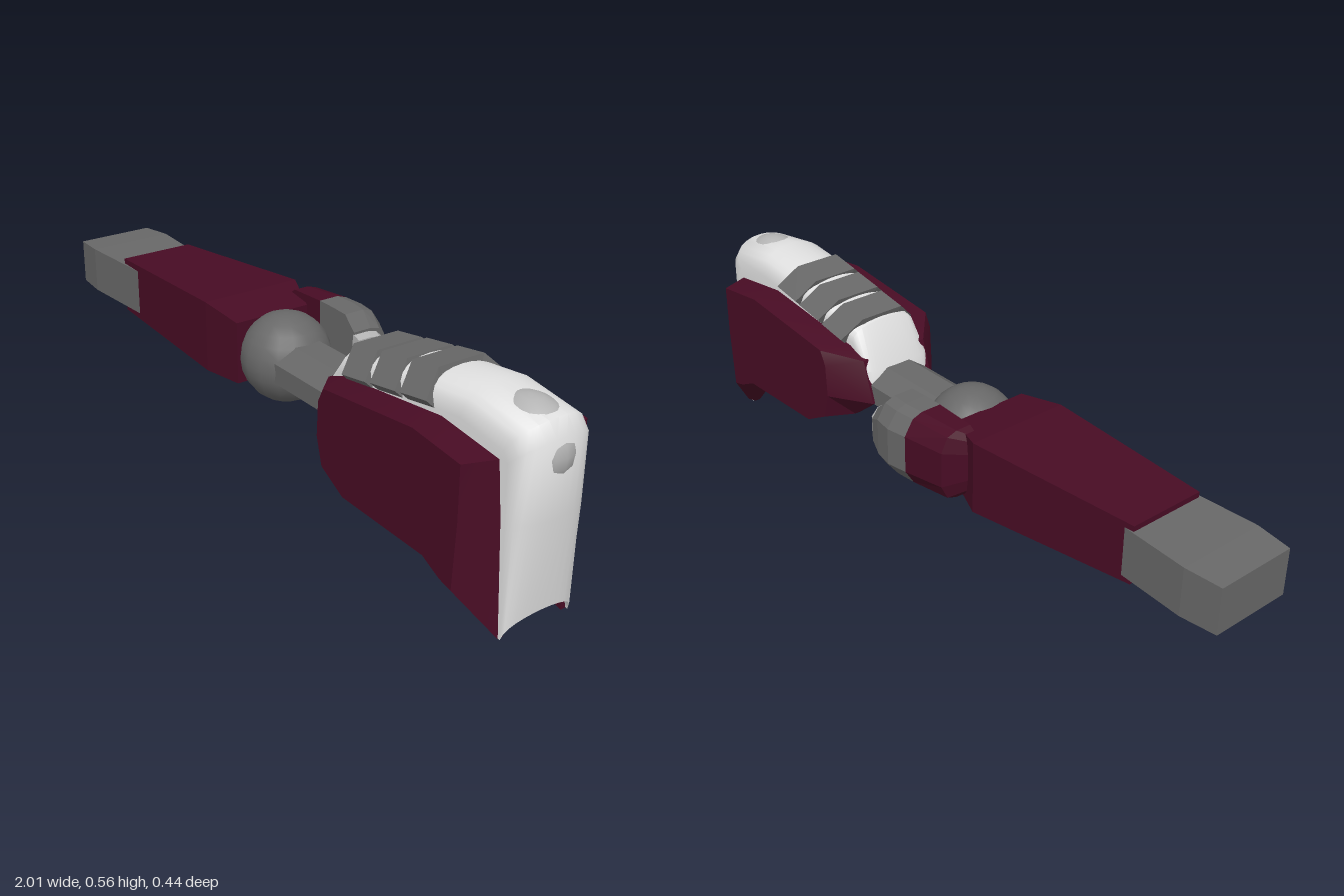
import * as THREE from 'three';
import { toCreasedNormals } from 'three/addons/utils/BufferGeometryUtils.js';

const CZ = 0.033; // centre line of the arm in z

const material = (name, color) => {
  const m = new THREE.MeshStandardMaterial({ color });
  m.name = name;
  return m;
};

// Skin a list of closed rings; the end caps are triangulated after dropping one axis.
function loft(rings, dropAxis, crease = 0) {
  const n = rings[0].length;
  const tris = [];
  for (let i = 0; i < rings.length - 1; i++) {
    for (let j = 0; j < n; j++) {
      const k = (j + 1) % n;
      const [a, b, c, d] = [rings[i][j], rings[i][k], rings[i + 1][k], rings[i + 1][j]];
      tris.push([a, b, c], [a, c, d]);
    }
  }
  const cap = (ring, reverse) => {
    const flat = ring.map((p) => new THREE.Vector2(...p.filter((_, i) => i !== dropAxis)));
    const sign = Math.sign(THREE.ShapeUtils.area(flat));
    for (const f of THREE.ShapeUtils.triangulateShape(flat.slice(), [])) {
      const same = Math.sign(THREE.ShapeUtils.area(f.map((i) => flat[i]))) === sign;
      const t = f.map((i) => ring[i]);
      tris.push(same === reverse ? t.reverse() : t);
    }
  };
  cap(rings[0], true);
  cap(rings[rings.length - 1], false);

  // Turn the skin outward if its signed volume is negative
  let volume = 0;
  const [a, b, c] = [0, 0, 0].map(() => new THREE.Vector3());
  for (const t of tris) volume += a.set(...t[0]).dot(b.set(...t[1]).cross(c.set(...t[2])));
  if (volume < 0) tris.forEach((t) => t.reverse());

  const g = new THREE.BufferGeometry();
  g.setAttribute('position', new THREE.Float32BufferAttribute(tris.flat(2), 3));
  g.computeVertexNormals();
  return crease ? toCreasedNormals(g, crease) : g;
}

// Rectangular section across the arm
const rect = ([x, y0, y1, z0, z1]) => [[x, y0, z0], [x, y1, z0], [x, y1, z1], [x, y0, z1]];

export function createModel() {
  const group = new THREE.Group();
  const maroon = material('maroon', 0x480c24);
  const grey = material('grey', 0x686868);
  const white = material('white', 0xe0e0e0);
  const lightGrey = material('lightGrey', 0xb4b4b4);

  const add = (name, geometry, mat, x = 0, y = 0, z = 0) => {
    const mesh = new THREE.Mesh(geometry, mat);
    mesh.name = name;
    mesh.position.set(x, y, z);
    group.add(mesh);
    return mesh;
  };

  // Forearm: grey wrist block and maroon sleeve
  add('wrist', loft([
    [-1, 0.25, 0.38, -0.08, 0.15],
    [-0.9, 0.25, 0.385, -0.093, 0.16],
    [-0.6, 0.25, 0.385, -0.075, 0.143],
  ].map(rect), 0), grey);
  add('forearmSleeve', loft([
    [-0.735, 0.235, 0.4, -0.078, 0.144],
    [-0.25, 0.215, 0.42, -0.145, 0.155],
    [-0.115, 0.222, 0.4, -0.09, 0.14],
  ].map(rect), 0), maroon);

  // Elbow ball and upper arm
  add('elbowBall', new THREE.SphereGeometry(0.126, 16, 12), grey, -0.045, 0.303, 0.028);
  const armGeometry = new THREE.CylinderGeometry(0.073, 0.073, 0.5, 8);
  armGeometry.rotateY(Math.PI / 8).rotateZ(Math.PI / 2).scale(1, 1, 1.38);
  const flatArm = armGeometry.toNonIndexed();
  flatArm.computeVertexNormals();
  add('upperArm', flatArm, grey, 0.25, 0.303, 0.027);

  // Elbow guard on the back: stepped sections [x, half height, shoulder z, ridge z]
  const guardRing = ([x, h, z, ridge]) => {
    const half = [[h, -0.095], [h, z + 0.03], [h * 0.9, z], [h * 0.5, ridge]];
    const lower = half.map(([dy, pz]) => [x, 0.323 - dy, pz]).reverse();
    return [...half.map(([dy, pz]) => [x, 0.323 + dy, pz]), ...lower];
  };
  const guard = (name, sections, mat) => add(name, loft(sections.map(guardRing), 0), mat);
  guard('elbowGuardRear', [
    [-0.215, 0.075, -0.11, -0.125], [-0.18, 0.1, -0.17, -0.19], [-0.06, 0.106, -0.185, -0.212],
  ], maroon);
  guard('elbowGuardMiddle', [
    [-0.06, 0.106, -0.185, -0.212], [0, 0.106, -0.19, -0.222],
    [0.055, 0.104, -0.185, -0.212], [0.095, 0.065, -0.18, -0.2],
  ], grey);
  guard('elbowGuardTip', [[0.09, 0.06, -0.17, -0.195], [0.117, 0.05, -0.165, -0.185]], lightGrey);

  // Shoulder shell: side outline swelling to the middle outline, layer by layer in z
  const side = [
    [0.285, 0.29], [0.295, 0.37], [0.35, 0.435], [0.55, 0.465], [0.78, 0.485], [0.92, 0.465],
    [0.935, 0.44], [0.94, 0.3], [0.948, 0], [0.915, 0.005], [0.78, 0.15], [0.46, 0.17], [0.35, 0.21],
  ];
  const middle = [
    [0.262, 0.29], [0.272, 0.37], [0.345, 0.485], [0.55, 0.53], [0.8, 0.56], [0.97, 0.535],
    [0.998, 0.5], [0.992, 0.3], [0.968, 0.052], [0.93, 0.05], [0.79, 0.18], [0.46, 0.18], [0.35, 0.22],
  ];
  const layers = [];
  const steps = 12;
  for (let i = 0; i <= steps; i++) {
    const a = (i / steps - 0.5) * Math.PI;
    const t = Math.pow(Math.max(0, Math.cos(a)), 0.7);
    layers.push(side.map(([x, y], j) => [
      x + (middle[j][0] - x) * t, y + (middle[j][1] - y) * t, CZ + 0.105 * Math.sin(a),
    ]));
  }
  add('shoulderShell', loft(layers, 2, 0.75), white);

  // Worn cap showing through the top of the shell, and the joint ball below
  add('shoulderCap', new THREE.SphereGeometry(1, 20, 12), lightGrey, 0.885, 0.45, CZ)
    .scale.set(0.12, 0.107, 0.09);
  add('shoulderBall', new THREE.SphereGeometry(0.126, 16, 12), grey, 0.7, 0.185, CZ);

  // Maroon side plates, bevelled from the shell out to a flat face
  const plateInner = [
    [0.262, 0.28], [0.3, 0.4], [0.36, 0.425], [0.72, 0.465], [0.91, 0.44], [0.925, 0.3],
    [0.942, 0], [0.9, 0.012], [0.78, 0.15], [0.46, 0.165], [0.35, 0.21],
  ];
  const plateOuter = [
    [0.365, 0.29], [0.37, 0.385], [0.39, 0.425], [0.72, 0.46], [0.88, 0.44], [0.88, 0.3],
    [0.87, 0.12], [0.83, 0.13], [0.77, 0.16], [0.47, 0.168], [0.385, 0.215],
  ];
  for (const s of [1, -1]) {
    const ring = (points, d) => points.map(([x, y]) => [x, y, CZ + s * d]);
    add(s > 0 ? 'frontShoulderPlate' : 'backShoulderPlate',
      loft([ring(plateInner, 0.09), ring(plateInner, 0.106), ring(plateOuter, 0.188)], 2, 0.5), maroon);
  }

  // Three grey straps bent over the top of the shell
  const bends = [[-0.125, -0.057, 0.028], [-0.068, 0, 0], [0.068, 0, 0], [0.125, -0.057, 0.028]];
  [[0.35, 0.498], [0.46, 0.518], [0.57, 0.537]].forEach(([x, y], i) => {
    const rings = bends.map(([d, dy, dx]) => {
      const inner = d * 0.82;
      return [
        [x + dx, y + dy, CZ + d], [x + dx + 0.092, y + dy + 0.015, CZ + d],
        [x + dx + 0.098, y + dy - 0.008, CZ + inner], [x + dx + 0.006, y + dy - 0.023, CZ + inner],
      ];
    });
    add('shoulderStrap' + (i + 1), loft(rings, 2), grey);
  });

  return group;
}
